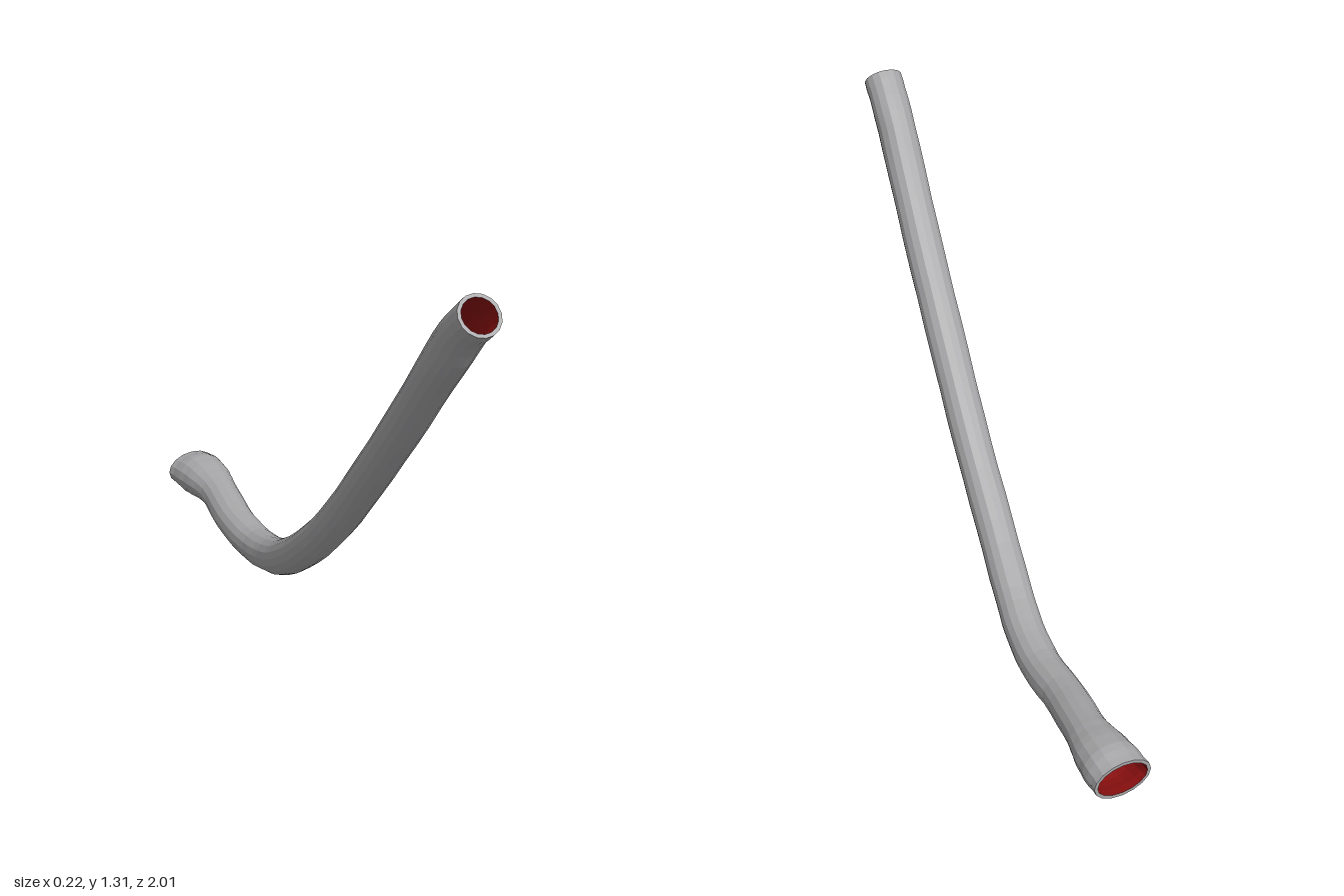
import * as THREE from 'three';

const SIDES = 16;
const SEGMENTS = 44;
const WALL = 0.01;

// Centre line and half sizes: x, y, z, half width, half height
const STATIONS = [
  [0.048, 1.275, 0.965, 0.058, 0.057],
  [0.045, 1.222, 0.9, 0.058, 0.057],
  [0.04, 1.108, 0.8, 0.058, 0.057],
  [0.032, 0.87, 0.6, 0.058, 0.055],
  [0.022, 0.642, 0.4, 0.058, 0.054],
  [0.014, 0.43, 0.2, 0.057, 0.055],
  [0.008, 0.26, 0, 0.057, 0.056],
  [0.012, 0.135, -0.2, 0.057, 0.057],
  [0.016, 0.088, -0.32, 0.058, 0.057],
  [0.011, 0.066, -0.45, 0.059, 0.058],
  [-0.003, 0.08, -0.6, 0.06, 0.057],
  [0, 0.112, -0.78, 0.061, 0.056],
  [-0.004, 0.12, -0.85, 0.074, 0.062],
  [-0.012, 0.122, -0.92, 0.083, 0.07],
  [-0.024, 0.123, -0.99, 0.086, 0.058],
];

// One cross-section of the pipe at parameter u, shrunk by inset
function ring(path, sizes, u, inset) {
  const centre = path.getPoint(u);
  const tangent = path.getTangent(u);
  const across = new THREE.Vector3(1, 0, 0).addScaledVector(tangent, -tangent.x).normalize();
  const down = new THREE.Vector3().crossVectors(tangent, across);
  const size = sizes.getPoint(u);
  const ripple = 1 + 0.012 * Math.sin(u * 95);
  const points = [];
  for (let j = 0; j <= SIDES; j++) {
    const a = (j % SIDES) / SIDES * Math.PI * 2;
    points.push(centre.clone()
      .addScaledVector(across, Math.cos(a) * (size.x * ripple - inset))
      .addScaledVector(down, Math.sin(a) * (size.y * ripple - inset)));
  }
  return points;
}

// Skin a list of rings
function skin(rings) {
  const positions = [];
  const index = [];
  const row = SIDES + 1;
  rings.forEach((r) => r.forEach((p) => positions.push(p.x, p.y, p.z)));
  for (let i = 0; i < rings.length - 1; i++) {
    for (let j = 0; j < SIDES; j++) {
      const a = i * row + j;
      index.push(a, a + 1, a + row, a + 1, a + row + 1, a + row);
    }
  }
  const geometry = new THREE.BufferGeometry();
  geometry.setAttribute('position', new THREE.Float32BufferAttribute(positions, 3));
  geometry.setIndex(index);
  geometry.computeVertexNormals();
  return geometry;
}

export function createModel() {
  const group = new THREE.Group();
  group.name = 'bentPipe';

  const grey = new THREE.MeshStandardMaterial({ name: 'grey', color: 0xa6a6a8, flatShading: true });
  const red = new THREE.MeshStandardMaterial({ name: 'darkRed', color: 0x8c1010, flatShading: true });

  const path = new THREE.CatmullRomCurve3(STATIONS.map(([x, y, z]) => new THREE.Vector3(x, y, z)));
  const sizes = new THREE.CatmullRomCurve3(STATIONS.map(([, , , w, h]) => new THREE.Vector3(w, h, 0)));

  const outer = [];
  const inner = [];
  for (let i = 0; i <= SEGMENTS; i++) {
    outer.push(ring(path, sizes, i / SEGMENTS, 0));
    inner.push(ring(path, sizes, i / SEGMENTS, WALL));
  }

  // Outer wall with the rims at both open ends
  const wall = new THREE.Mesh(skin([inner[0], ...outer, inner[SEGMENTS]]), grey);
  wall.name = 'outerWall';

  // Inner lining, facing the bore
  const lining = new THREE.Mesh(skin([...inner].reverse()), red);
  lining.name = 'innerLining';

  group.add(wall, lining);
  return group;
}
